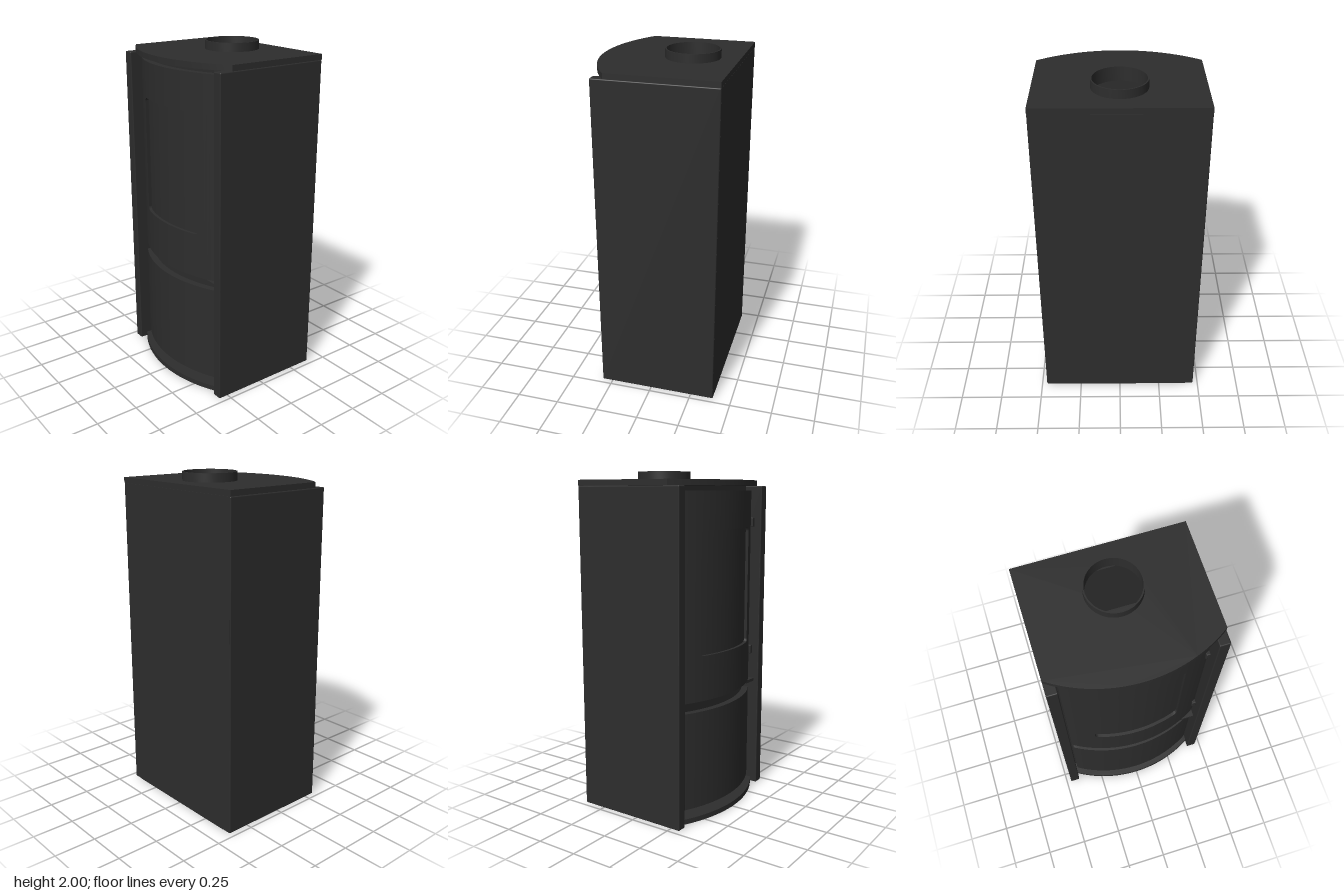
import * as THREE from 'three';
import { toCreasedNormals } from 'three/addons/utils/BufferGeometryUtils.js';
import { RoundedBoxGeometry } from 'three/addons/geometries/RoundedBoxGeometry.js';

const ARC_Z = -0.426; // shared centre of all the bowed fronts
const FLUE_Z = -0.125;
const HALF = 0.47, BACK = -0.388;

const steel = new THREE.MeshStandardMaterial({ color: 0x2d2d2d });
steel.name = 'blackSteel';

const arcZ = (x, r) => ARC_Z + Math.sqrt(r * r - x * x);

// y inset of a rounded corner at x, for a panel spanning x0..x1
function inset(x, x0, x1, r) {
  const d = Math.min(x - x0, x1 - x);
  return d >= r ? 0 : r - Math.sqrt(Math.max(0, r * r - (r - d) ** 2));
}

// Rounded rectangle described by its lower and upper edge
function rounded(x0, x1, y0, y1, r) {
  return { x0, x1, lo: x => y0 + inset(x, x0, x1, r), hi: x => y1 - inset(x, x0, x1, r) };
}

// Bowed plate between two radii, lofted from vertical cross-sections
function bowedPlate(x0, x1, lo, hi, rIn, rOut, corner = 0.02) {
  const xs = [];
  for (let i = 0; i <= 5; i++) {
    const d = corner * (1 - Math.cos((i / 5) * Math.PI / 2));
    xs.push(x0 + d, x1 - d);
  }
  const a = x0 + corner, b = x1 - corner, n = Math.max(2, Math.ceil((b - a) / 0.025));
  for (let i = 1; i < n; i++) xs.push(a + (b - a) * i / n);
  xs.sort((p, q) => p - q);
  const pos = [], idx = [];
  xs.forEach((x, i) => {
    const zi = arcZ(x, rIn), zo = arcZ(x, rOut), l = lo(x), h = hi(x);
    pos.push(x, l, zi, x, l, zo, x, h, zo, x, h, zi);
    if (i === 0) return;
    for (let k = 0; k < 4; k++) {
      const p = (i - 1) * 4, q = i * 4, m = (k + 1) % 4;
      idx.push(p + k, q + k, q + m, p + k, q + m, p + m);
    }
  });
  const e = (xs.length - 1) * 4;
  idx.push(0, 1, 2, 0, 2, 3, e, e + 2, e + 1, e, e + 3, e + 2);
  const g = new THREE.BufferGeometry();
  g.setAttribute('position', new THREE.Float32BufferAttribute(pos, 3));
  g.setIndex(idx);
  return toCreasedNormals(g, 0.5);
}

// Horizontal plate with a bowed front edge and an optional flue hole
function bowedSlab(half, back, r, y, height, hole = 0) {
  const s = new THREE.Shape();
  s.moveTo(-half, -back);
  for (let i = 0; i <= 40; i++) {
    const x = -half + 2 * half * i / 40;
    s.lineTo(x, -arcZ(x, r));
  }
  s.lineTo(half, -back);
  s.closePath();
  if (hole) s.holes.push(new THREE.Path().absarc(0, -FLUE_Z, hole, 0, Math.PI * 2, true));
  const g = new THREE.ExtrudeGeometry(s, { depth: height, bevelEnabled: false, curveSegments: 24 });
  g.rotateX(-Math.PI / 2).translate(0, y, 0);
  return toCreasedNormals(g, 0.5);
}

export function createModel() {
  const model = new THREE.Group();
  model.name = 'woodStove';

  function add(name, geometry, parent = model) {
    const m = new THREE.Mesh(geometry, steel);
    m.name = name;
    parent.add(m);
    return m;
  }
  // Box given by its limits on each axis, with softened edges if r is set
  function box(name, x0, x1, y0, y1, z0, z1, r = 0, parent = model) {
    const size = [x1 - x0, y1 - y0, z1 - z0];
    const g = r ? new RoundedBoxGeometry(...size, 2, r) : new THREE.BoxGeometry(...size);
    g.translate((x0 + x1) / 2, (y0 + y1) / 2, (z0 + z1) / 2);
    return add(name, g, parent);
  }

  // Outer casing
  box('leftSidePanel', 0.41, HALF, 0.002, 1.917, BACK, 0.312, 0.006);
  box('rightSidePanel', -HALF, -0.41, 0.002, 1.917, BACK, 0.312, 0.006);
  box('backPanel', -0.465, 0.465, 0.002, 1.917, BACK, -0.265);
  add('basePlate', bowedSlab(0.41, BACK, 0.806, 0, 0.03));
  add('topPlate', bowedSlab(HALF, BACK, 0.813, 1.918, 0.032, 0.15));

  // Firebox behind the doors, with the baffle seen down the flue
  box('fireboxFront', -0.41, 0.41, 0.03, 1.918, 0.17, 0.2);
  box('fireboxFloor', -0.41, 0.41, 0.66, 0.69, -0.265, 0.17);
  box('smokeBaffle', -0.41, 0.41, 1.6, 1.62, -0.16, 0.17);
  box('baffleLip', -0.41, 0.41, 1.56, 1.6, -0.18, -0.16);

  // Flue collar, open at the top
  const collar = new THREE.LatheGeometry(
    [[0.148, 1.92], [0.156, 1.92], [0.156, 2], [0.148, 2], [0.148, 1.92]]
      .map(p => new THREE.Vector2(...p)), 64);
  add('flueCollar', toCreasedNormals(collar.translate(0, 0, FLUE_Z), 0.5));

  // Upper door: a bowed frame around a set-back window
  const door = new THREE.Group();
  door.name = 'fireDoor';
  model.add(door);
  const D = rounded(-0.4, 0.4, 0.712, 1.89, 0.02);
  const W = rounded(-0.257, 0.257, 0.975, 1.675, 0.02);
  const R_IN = 0.74, R_OUT = 0.781;
  add('doorRightStile', bowedPlate(D.x0, W.x0, D.lo, D.hi, R_IN, R_OUT), door);
  add('doorLeftStile', bowedPlate(W.x1, D.x1, D.lo, D.hi, R_IN, R_OUT), door);
  add('doorTopRail', bowedPlate(W.x0, W.x1, W.hi, D.hi, R_IN, R_OUT), door);
  add('doorBottomRail', bowedPlate(W.x0, W.x1, D.lo, W.lo, R_IN, R_OUT), door);
  add('windowPane', bowedPlate(-0.27, 0.27, () => 0.96, () => 1.69, 0.75, 0.763), door);
  box('doorHandle', 0.3, 0.397, 0.693, 0.711, 0.2, 0.289, 0, door);
  for (const y of [0.9, 1.7]) box('doorHinge', 0.377, 0.402, y - 0.028, y + 0.028, 0.2, 0.272, 0.005, door);

  // Lower compartment door
  const L = rounded(-0.4, 0.4, 0.075, 0.652, 0.02);
  add('lowerDoor', bowedPlate(L.x0, L.x1, L.lo, L.hi, R_IN, R_OUT));

  return model;
}
